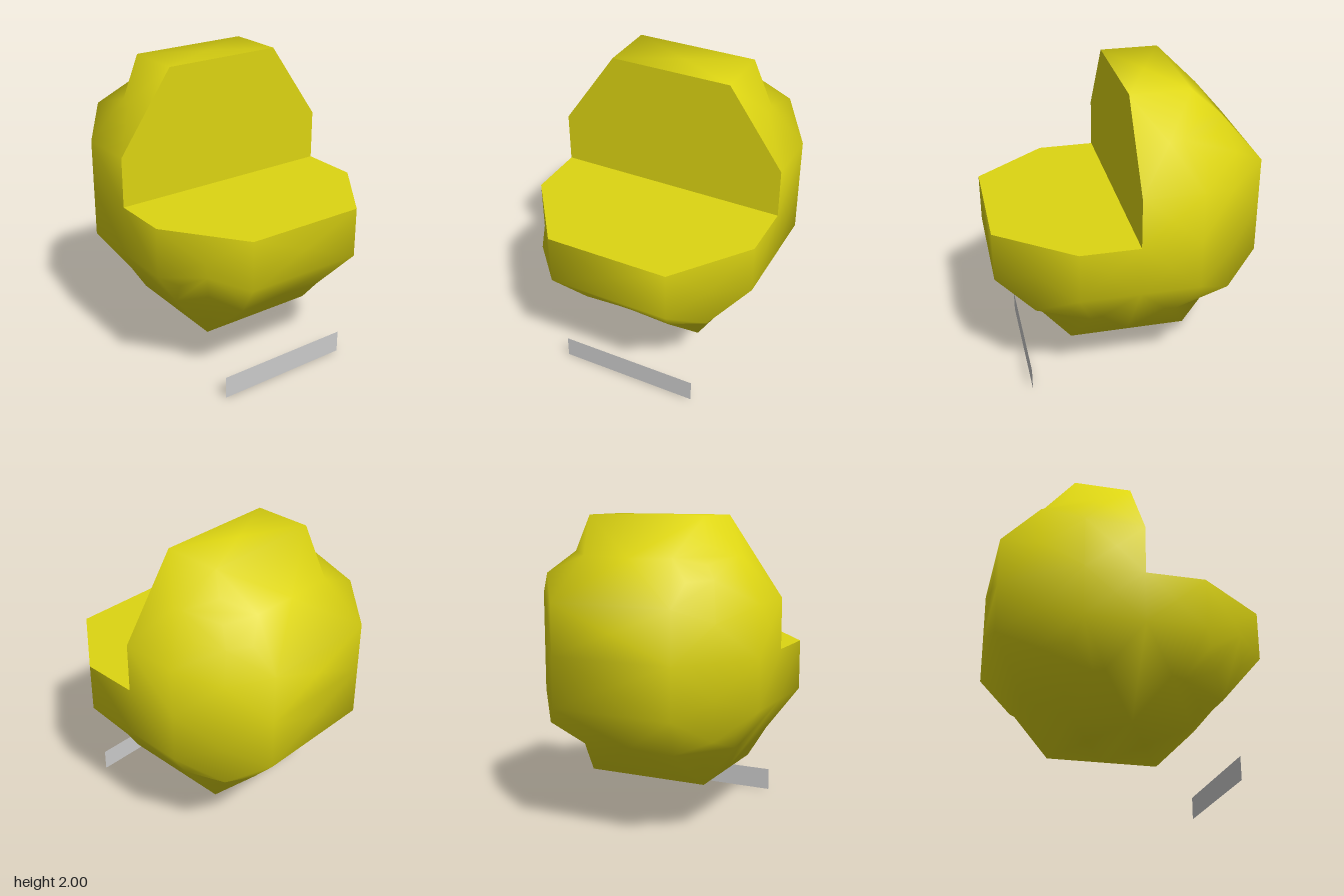
import * as THREE from 'three';

// Half sizes of the chamfered block and of its six flat faces
const OUTER = [0.76, 0.835, 0.855];
const FLAT = [0.4, 0.325, 0.38];
// Middle of each chamfer, and how far that middle line runs along its axis
const CHAMFER = [0.568, 0.597, 0.625];
const RUN = [0.3, 0.48, 0.28];
const CENTRE_Y = 1.165;

// Corner of the flat face that looks along one axis
const facePoint = (axis, s) =>
  new THREE.Vector3(...s.map((v, i) => v * (i === axis ? OUTER[i] : FLAT[i])));

// End of the middle line of the chamfer that runs along one axis
function chamferPoint(axis, s) {
  // The lower front corner on the right is worn differently
  if (axis === 1 && s[0] < 0 && s[1] < 0 && s[2] > 0) return new THREE.Vector3(-0.59, -0.26, 0.66);
  return new THREE.Vector3(...s.map((v, i) => v * (i === axis ? RUN[i] : CHAMFER[i])));
}

// Flat faces, chamfers and the dented corners between them
function blockPolygons() {
  const polygons = [];
  for (let i = 0; i < 3; i++) {
    const j = (i + 1) % 3, k = (i + 2) % 3;
    const signs = (a, b, c) => {
      const s = [];
      s[i] = a; s[j] = b; s[k] = c;
      return s;
    };
    for (const a of [-1, 1]) {
      polygons.push([[-1, -1], [1, -1], [1, 1], [-1, 1]]
        .map(([b, c]) => facePoint(i, signs(a, b, c))));
      for (const b of [-1, 1]) {
        const p = signs(a, b, 1), n = signs(a, b, -1);
        polygons.push([facePoint(i, p), facePoint(i, n), chamferPoint(k, n),
          facePoint(j, n), facePoint(j, p), chamferPoint(k, p)]);
      }
    }
  }
  for (const x of [-1, 1]) for (const y of [-1, 1]) for (const z of [-1, 1]) {
    const s = [x, y, z];
    const [side, cap, end] = [0, 1, 2].map((axis) => facePoint(axis, s));
    const [capEnd, sideEnd, capSide] = [0, 1, 2].map((axis) => chamferPoint(axis, s));
    polygons.push([cap, capSide, capEnd], [sideEnd, capSide, side],
      [sideEnd, capEnd, capSide], [sideEnd, end, capEnd]);
  }
  return polygons;
}

// Keeps the part of a polygon where sign * coordinate >= 0
function clip(polygon, axis, sign) {
  const out = [];
  polygon.forEach((p, n) => {
    const q = polygon[(n + 1) % polygon.length];
    const dp = sign * p[axis], dq = sign * q[axis];
    if (dp >= 0) out.push(p);
    if (dp * dq < 0) out.push(p.clone().lerp(q, dp / (dp - dq)));
  });
  return out;
}

// Normal of the round form that the block stands for
const roundNormal = (p) =>
  new THREE.Vector3(...p.toArray().map((v, i) => v / OUTER[i] ** 2)).normalize();

// Fans a polygon around its middle; flat walls pass their own normal
function addPolygon(positions, normals, polygon, wallNormal) {
  if (polygon.length < 3) return;
  const mid = new THREE.Vector3();
  polygon.forEach((p) => mid.addScaledVector(p, 1 / polygon.length));
  const next = (n) => polygon[(n + 1) % polygon.length];
  const facing = new THREE.Vector3();
  polygon.forEach((p, n) => facing.add(
    p.clone().sub(mid).cross(next(n).clone().sub(mid))));
  const flip = facing.dot(wallNormal || mid) < 0;
  polygon.forEach((p, n) => {
    for (const v of flip ? [mid, next(n), p] : [mid, p, next(n)]) {
      positions.push(...v.toArray());
      normals.push(...(wallNormal || roundNormal(v)).toArray());
    }
  });
}

function bodyGeometry() {
  const positions = [], normals = [];
  // Outer skin, without the upper front quarter
  for (const polygon of blockPolygons()) {
    for (const [sy, sz] of [[1, -1], [-1, -1], [-1, 1]]) {
      addPolygon(positions, normals, clip(clip(polygon, 'y', sy), 'z', sz));
    }
  }
  // Upright wall and level floor of the cut
  const halfOctagon = (axis) => [[-OUTER[0], 0], [-OUTER[0], FLAT[axis]],
    [-FLAT[0], OUTER[axis]], [FLAT[0], OUTER[axis]],
    [OUTER[0], FLAT[axis]], [OUTER[0], 0]];
  addPolygon(positions, normals,
    halfOctagon(1).map(([x, y]) => new THREE.Vector3(x, y, 0)), new THREE.Vector3(0, 0, 1));
  addPolygon(positions, normals,
    halfOctagon(2).map(([x, z]) => new THREE.Vector3(x, 0, z)), new THREE.Vector3(0, 1, 0));

  const geometry = new THREE.BufferGeometry();
  geometry.setAttribute('position', new THREE.Float32BufferAttribute(positions, 3));
  geometry.setAttribute('normal', new THREE.Float32BufferAttribute(normals, 3));
  return geometry;
}

export function createModel() {
  const model = new THREE.Group();
  model.name = 'cutawayCell';

  // Rounded body with a quarter cut away
  const body = new THREE.Mesh(bodyGeometry(),
    new THREE.MeshStandardMaterial({ color: 0xddd512 }));
  body.name = 'cellBody';
  body.position.y = CENTRE_Y;
  model.add(body);

  // Blank label plate below the front
  const plate = new THREE.Mesh(new THREE.PlaneGeometry(0.94, 0.15),
    new THREE.MeshStandardMaterial({ color: 0xcccccc, side: THREE.DoubleSide }));
  plate.name = 'labelPlate';
  plate.position.set(0.015, 0.078, 0.66);
  model.add(plate);

  return model;
}
